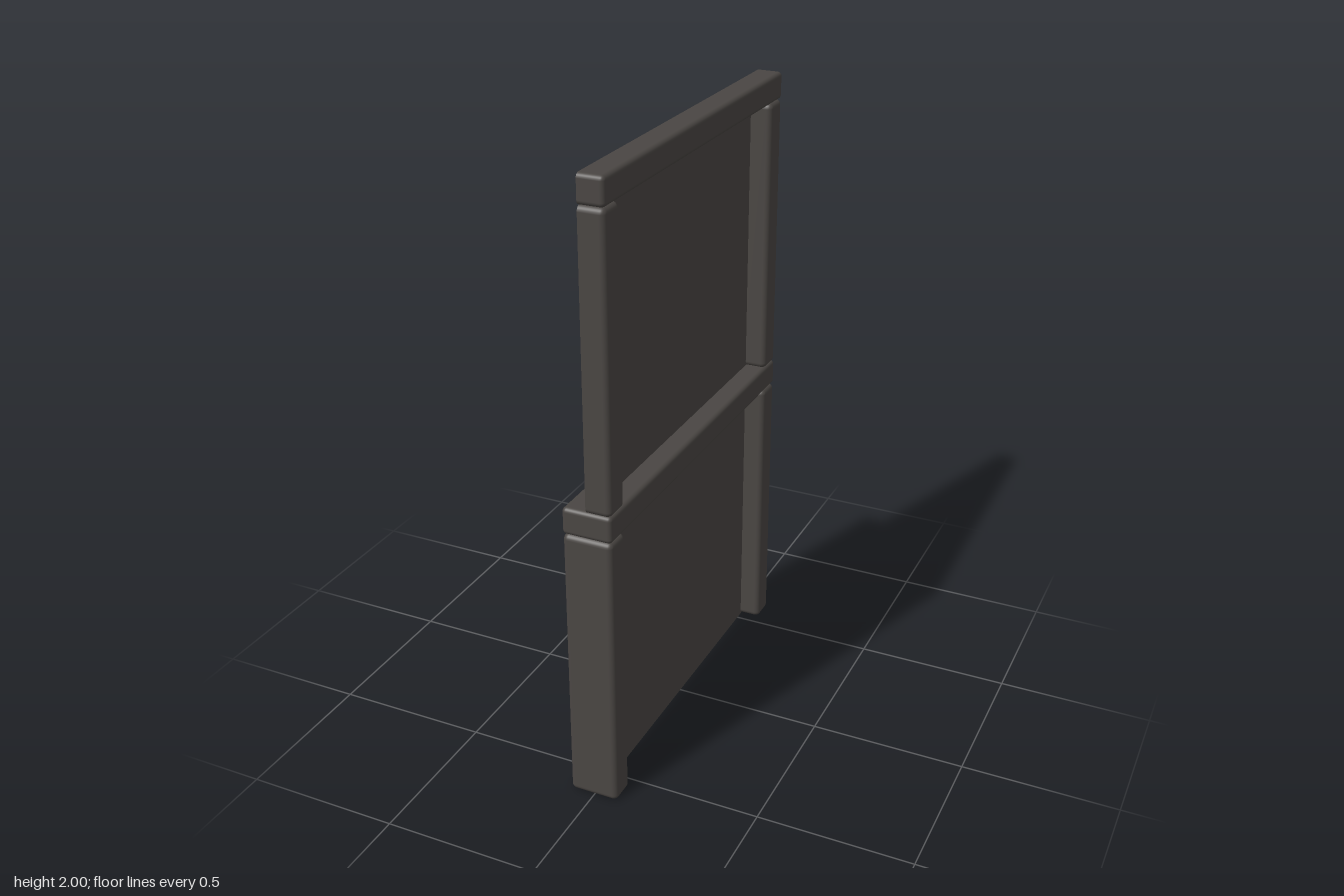
import * as THREE from 'three';
import { RoundedBoxGeometry } from 'three/addons/geometries/RoundedBoxGeometry.js';

const HALF_LEN = 0.62, POST = 0.09, DEPTH = 0.16;

// Keeps the +x half of a rounded box as a shell that is open at x = 0.
function halfShell(geometry) {
  const pos = geometry.attributes.position, nor = geometry.attributes.normal;
  const points = [], normals = [];
  for (let i = 0; i < pos.count; i += 3) {
    const corners = [i, i + 1, i + 2];
    if (corners.every((c) => pos.getX(c) <= 0)) continue;
    for (const c of corners) {
      points.push(Math.max(0, pos.getX(c)), pos.getY(c), pos.getZ(c));
      normals.push(nor.getX(c), nor.getY(c), nor.getZ(c));
    }
  }
  const half = new THREE.BufferGeometry();
  half.setAttribute('position', new THREE.Float32BufferAttribute(points, 3));
  half.setAttribute('normal', new THREE.Float32BufferAttribute(normals, 3));
  return half;
}

export function createModel() {
  const model = new THREE.Group();
  model.name = 'steppedWallPanel';
  const charcoal = new THREE.MeshStandardMaterial({ color: 0x4a4643 });
  charcoal.name = 'charcoal';
  charcoal.side = THREE.DoubleSide;

  const add = (name, geometry, x, y, z) => {
    const mesh = new THREE.Mesh(geometry, charcoal);
    mesh.name = name;
    mesh.position.set(x, y, z);
    model.add(mesh);
  };

  // One storey: two posts, a rail across the top and a thin infill panel.
  const storey = (prefix, y0, y1, isHalf) => {
    const shape = (g) => (isHalf ? halfShell(g) : g);
    const postTop = y1 - 0.087, postHeight = postTop - y0;
    for (const side of [-1, 1]) {
      add(prefix + (side > 0 ? 'FrontPost' : 'BackPost'),
        shape(new RoundedBoxGeometry(DEPTH, postHeight, POST, 3, 0.018)),
        0, y0 + postHeight / 2, side * (HALF_LEN - POST / 2));
    }
    add(prefix + 'Rail',
      shape(new RoundedBoxGeometry(DEPTH, 0.087, HALF_LEN * 2, 3, 0.014)),
      0, y1 - 0.0435, 0);
    add(prefix + 'Panel',
      new THREE.BoxGeometry(0.01, postHeight + 0.01, (HALF_LEN - POST) * 2 + 0.02),
      0.005, y0 + postHeight / 2 + 0.005, 0);
  };

  storey('lower', 0, 1.003, false);
  storey('upper', 1, 2, true);

  // Thin ledge behind the upper panel
  add('ledge', new THREE.BoxGeometry(0.035, 0.003, 1.08), -0.0105, 1.04, -0.005);
  return model;
}
